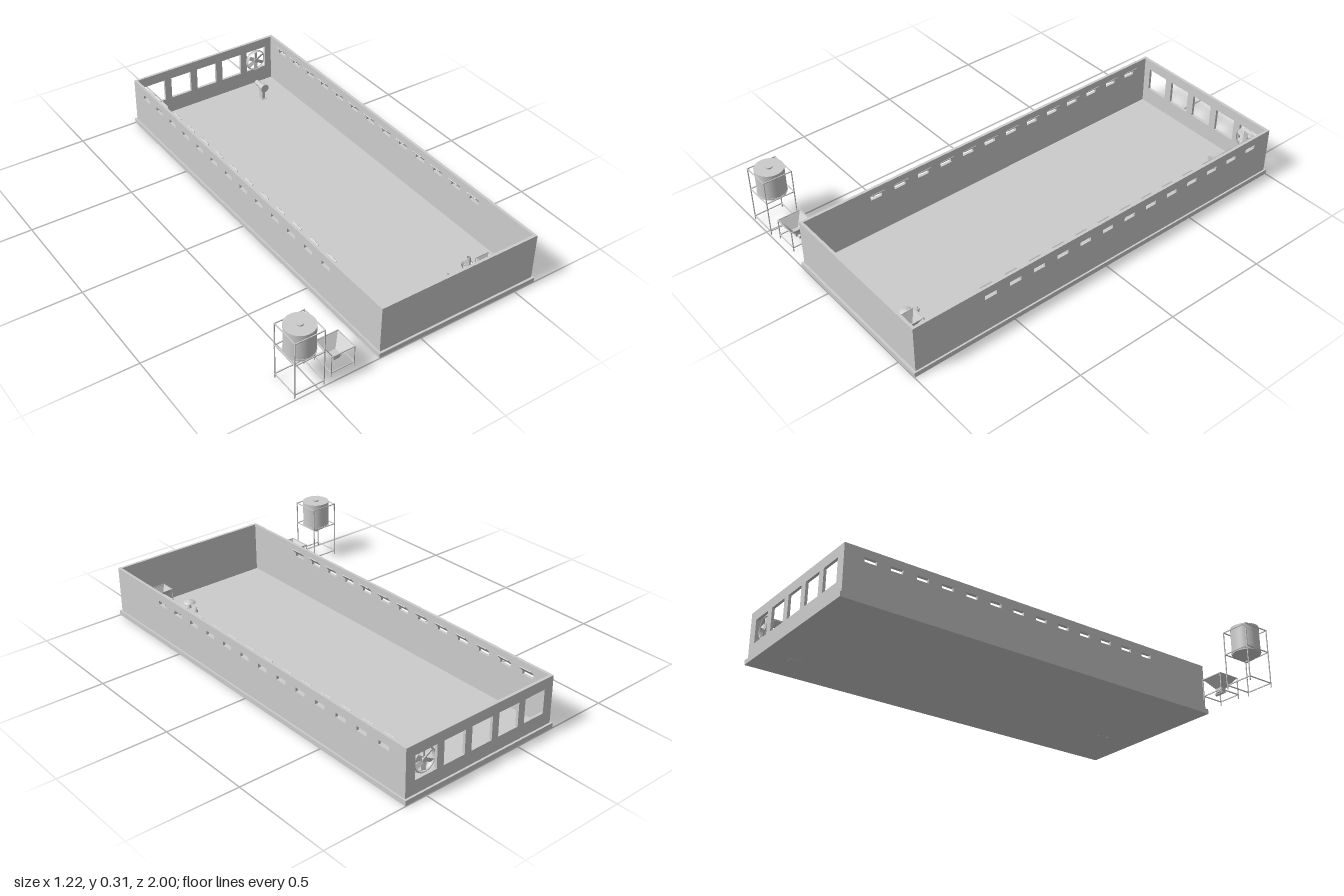
import * as THREE from 'three';

const grey = new THREE.MeshStandardMaterial({ color: 0xcccccc, side: THREE.DoubleSide });
grey.name = 'light grey';

function add(parent, name, geometry, x = 0, y = 0, z = 0) {
  const mesh = new THREE.Mesh(geometry, grey);
  mesh.name = name;
  mesh.position.set(x, y, z);
  parent.add(mesh);
  return mesh;
}
function group(parent, name, x = 0, y = 0, z = 0) {
  const g = new THREE.Group();
  g.name = name;
  g.position.set(x, y, z);
  parent.add(g);
  return g;
}
const box = (w, h, d) => new THREE.BoxGeometry(w, h, d);
const cyl = (rt, rb, h, n = 32, open = false) => new THREE.CylinderGeometry(rt, rb, h, n, 1, open);
const lathe = (pts, n = 32) => new THREE.LatheGeometry(pts.map(p => new THREE.Vector2(...p)), n);

// Upright rectangle with rectangular holes [cx, cy, w, h], extruded along z
function wallGeometry(x0, x1, y0, y1, depth, holes) {
  const rect = (s, a, b, c, d) => s.moveTo(a, c).lineTo(b, c).lineTo(b, d).lineTo(a, d).closePath();
  const shape = rect(new THREE.Shape(), x0, x1, y0, y1);
  for (const [cx, cy, w, h] of holes)
    shape.holes.push(rect(new THREE.Path(), cx - w / 2, cx + w / 2, cy - h / 2, cy + h / 2));
  return new THREE.ExtrudeGeometry(shape, { depth, bevelEnabled: false });
}

// Open square funnel given by half widths
function funnel(top, bottom, h) {
  const g = cyl(top * Math.SQRT2, bottom * Math.SQRT2, h, 4, true).rotateY(Math.PI / 4).toNonIndexed();
  g.computeVertexNormals();
  return g;
}

// Four posts joined by square rings of rails
function stand(parent, half, height, bar, levels) {
  const g = group(parent, 'stand');
  for (const s of [-1, 1]) {
    for (const t of [-1, 1]) add(g, 'post', box(bar, height, bar), s * half, height / 2, t * half);
    for (const y of levels) {
      add(g, 'rail', box(2 * half, bar, bar), 0, y, s * half);
      add(g, 'rail', box(bar, bar, 2 * half), s * half, y, 0);
    }
  }
}

function building(root) {
  const b = group(root, 'building', 0.2, 0, 0);
  const T = 0.013, TOP = 0.25, HX = 0.4, HZ = 0.99;
  add(b, 'floor', box(0.8, 0.005, 1.98), 0, 0.0055, 0);

  // Skirting round the foot of the walls
  for (const s of [-1, 1]) {
    add(b, 'skirting', box(0.008, 0.023, 2), s * 0.404, 0.0145, 0);
    add(b, 'skirting', box(0.8, 0.023, 0.01), 0, 0.0145, s * 0.995);
  }

  // End walls: the front is plain, the back has five square openings
  add(b, 'frontWall', wallGeometry(-HX, HX, 0.003, TOP, T, []), 0, 0, HZ - T);
  const openings = [-2, -1, 0, 1, 2].map(i => [i * 0.148, 0.145, 0.112, 0.112]);
  add(b, 'backWall', wallGeometry(-HX, HX, 0.003, TOP, T, openings), 0, 0, -HZ);

  // Side walls with thirteen air inlets, each with a tilted flap inside
  const inlets = Array.from({ length: 13 }, (_, i) => -0.868 + i * 0.1238);
  const side = wallGeometry(-HZ + T, HZ - T, 0.003, TOP, T,
    inlets.map(z => [-z, 0.202, 0.058, 0.02])).rotateY(Math.PI / 2);
  for (const s of [-1, 1]) {
    add(b, 'sideWall', side, s > 0 ? HX - T : -HX, 0, 0);
    for (const z of inlets) {
      const flap = add(b, 'inletFlap', box(0.03, 0.003, 0.06), s * (HX - T - 0.01), 0.223, z);
      flap.rotation.z = -s * 0.85;
    }
  }
}

function exhaustFan(root) {
  const f = group(root, 'exhaustFan', 0.489, 0.145, -0.969);
  add(f, 'shroud', cyl(0.055, 0.05, 0.016, 32, true).rotateX(-Math.PI / 2));
  add(f, 'rim', new THREE.TorusGeometry(0.053, 0.003, 8, 32), 0, 0, -0.006);
  add(f, 'hub', cyl(0.012, 0.012, 0.014, 20).rotateX(Math.PI / 2));
  for (let i = 0; i < 6; i++) {
    const blade = add(f, 'blade', box(0.02, 0.04, 0.002).rotateY(0.45).translate(0, 0.03, 0));
    blade.rotation.z = i * Math.PI / 3;
  }
}

function heater(root) {
  const h = group(root, 'heater', 0.438, 0, -0.842);
  add(h, 'foot', box(0.036, 0.008, 0.06), 0, 0.006, 0);
  add(h, 'column', box(0.014, 0.06, 0.03), 0, 0.038, 0.01);
  add(h, 'barrel', cyl(0.013, 0.013, 0.05, 24).rotateX(Math.PI / 2), 0, 0.075, -0.015);
  add(h, 'housing', cyl(0.018, 0.018, 0.026, 24).rotateX(Math.PI / 2), 0, 0.075, 0.018);
  add(h, 'flange', cyl(0.022, 0.022, 0.005, 24).rotateX(Math.PI / 2), 0, 0.075, 0.034);
}

function silo(root) {
  const s = group(root, 'silo', -0.538, 0.003, 0.925);
  stand(s, 0.068, 0.285, 0.004, [0.02, 0.172, 0.282]);
  add(s, 'tank', cyl(0.065, 0.065, 0.118, 40), 0, 0.226, 0);
  add(s, 'cone', cyl(0.065, 0.014, 0.033, 40), 0, 0.151, 0);
  add(s, 'outlet', cyl(0.008, 0.008, 0.008, 20), 0, 0.132, 0);
  add(s, 'band', cyl(0.067, 0.067, 0.004, 40), 0, 0.174, 0);
  add(s, 'lid', cyl(0.066, 0.066, 0.012, 40), 0, 0.291, 0);
  add(s, 'cap', cyl(0.015, 0.015, 0.007, 24), 0, 0.3, 0);
}

function loadingHopper(root) {
  const h = group(root, 'loadingHopper', -0.369, 0.003, 0.92);
  stand(h, 0.055, 0.104, 0.004, [0.02, 0.102]);
  add(h, 'funnel', funnel(0.053, 0.016, 0.048), 0, 0.077, 0);
  add(h, 'boot', box(0.032, 0.02, 0.032), 0, 0.043, 0);
  add(h, 'augerTube', cyl(0.008, 0.008, 0.046, 20).rotateZ(Math.PI / 2), 0.006, 0.033, 0);
}

function indoorEquipment(root) {
  const e = group(root, 'indoorEquipment');
  // Small feed hopper
  const h = group(e, 'feedHopper', 0.437, 0.004, 0.887);
  stand(h, 0.035, 0.125, 0.003, [0.03, 0.123]);
  add(h, 'funnel', funnel(0.035, 0.01, 0.05), 0, 0.099, 0);
  add(h, 'spout', box(0.02, 0.022, 0.02), 0, 0.065, 0);
  add(h, 'feedTube', cyl(0.006, 0.006, 0.04, 16).rotateX(Math.PI / 2), 0, 0.055, 0);

  add(e, 'controlCabinet', box(0.037, 0.11, 0.075), 0.527, 0.058, 0.9);

  // Pan feeder: dish, ribs and centre tube
  const p = group(e, 'panFeeder', 0.437, 0.003, 0.777);
  add(p, 'dish', lathe([[0, 0], [0.022, 0], [0.03, 0.016], [0.028, 0.016], [0.02, 0.004]]));
  add(p, 'dropTube', cyl(0.008, 0.012, 0.05, 20, true), 0, 0.035, 0);
  for (let i = 0; i < 8; i++) {
    const rib = add(p, 'rib', box(0.026, 0.002, 0.002).rotateZ(-0.9).translate(0.019, 0.028, 0));
    rib.rotation.y = i * Math.PI / 4;
  }

  // Bell drinker
  const d = group(e, 'bellDrinker', 0.322, 0, 0.835);
  add(d, 'bell', lathe([[0.029, 0.036], [0.026, 0.041], [0.016, 0.046], [0, 0.049]]));
  add(d, 'stem', cyl(0.005, 0.009, 0.042, 20), 0, 0.022, 0);

  // Nipple drinker
  const n = group(e, 'nippleDrinker', 0.322, 0, 0.78);
  add(n, 'body', cyl(0.007, 0.009, 0.02, 20), 0, 0.012, 0);
  add(n, 'tip', cyl(0.003, 0.003, 0.012, 12), 0, 0.027, 0);
}

export function createModel() {
  const root = new THREE.Group();
  root.name = 'livestockHouse';
  building(root);
  exhaustFan(root);
  heater(root);
  silo(root);
  loadingHopper(root);
  indoorEquipment(root);
  return root;
}
